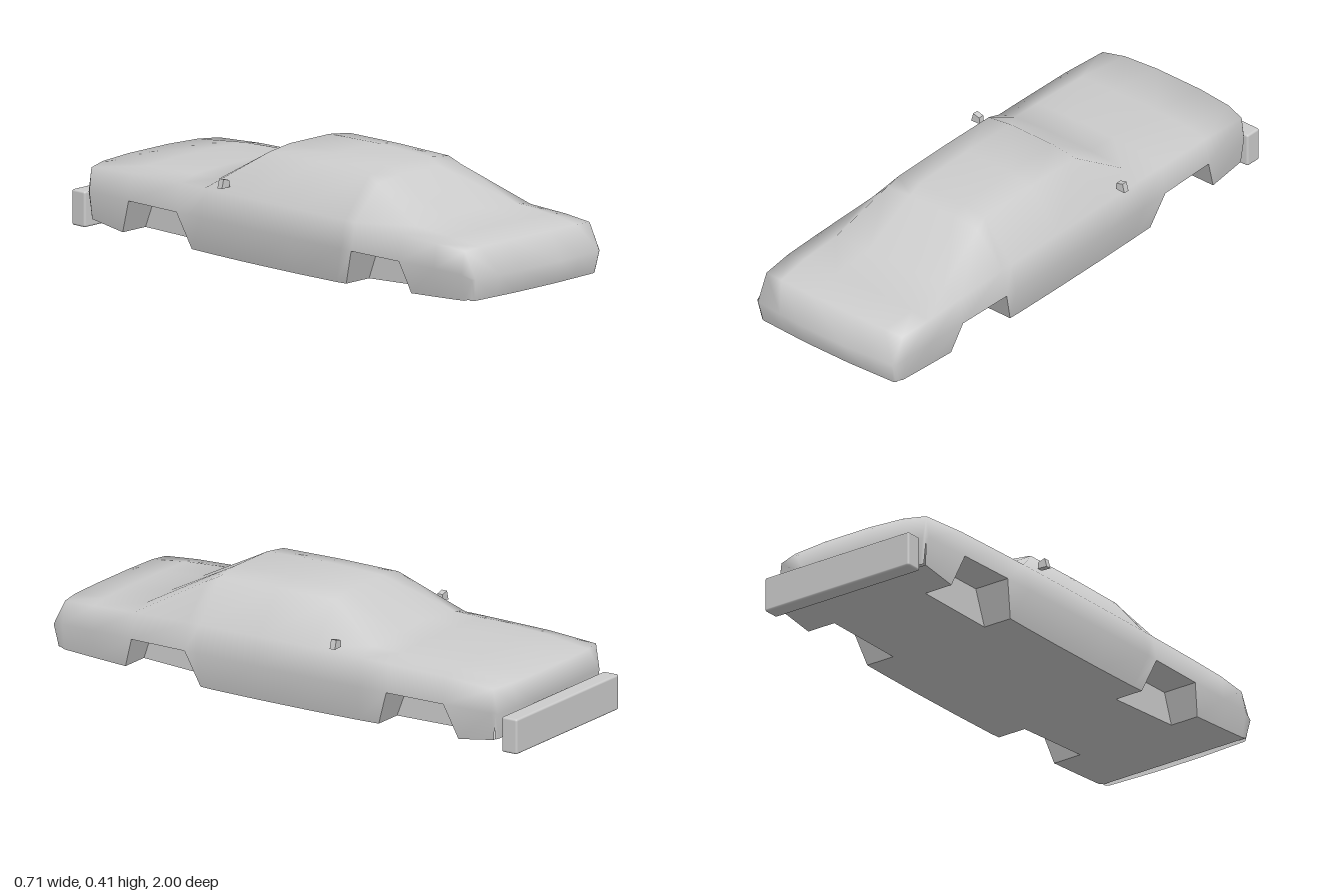
import * as THREE from 'three';
import { RoundedBoxGeometry } from 'three/addons/geometries/RoundedBoxGeometry.js';

// One body section: five points on the +x half, from sill to roof centre.
// z/zb: section position at waist and sill; yb: sill height; xw: waist width;
// yBelt: belt line; [x3, y3]: roof edge; yTop: top height; bow: z shift at the centre
function section({ z, zb, yb, xb = 0.318, xw, xBelt = 0.325, yBelt, x3, y3, yTop, bow = 0, arch = false }) {
  return {
    arch,
    half: [[xb, yb, zb], [xw, 0.14, z], [xBelt, yBelt, z], [x3, y3, z + bow * 0.7], [0.1, yTop, z + bow]],
  };
}

// A flattened section that closes the nose or the tail
function endRow(y, z, bow, xs) {
  return { arch: false, half: xs.map((x, i) => [x, y, z + bow * i / 4]) };
}

const SECTIONS = [
  // nose
  endRow(0.045, 0.955, 0.02, [0.312, 0.309, 0.3, 0.2, 0.1]),
  { arch: false, half: [[0.315, 0.05, 0.953], [0.322, 0.125, 0.972], [0.312, 0.127, 0.98], [0.2, 0.128, 0.992], [0.1, 0.128, 1.0]] },
  section({ z: 0.93, zb: 0.93, yb: 0.043, xw: 0.333, xBelt: 0.315, yBelt: 0.222, x3: 0.24, y3: 0.227, yTop: 0.228, bow: 0.012 }),
  section({ z: 0.8, zb: 0.8, yb: 0.035, xw: 0.336, yBelt: 0.23, x3: 0.25, y3: 0.241, yTop: 0.246 }),
  // front wheel arch and windscreen
  section({ z: 0.63, zb: 0.67, yb: 0.028, xw: 0.34, yBelt: 0.236, x3: 0.25, y3: 0.252, yTop: 0.258, arch: true }),
  section({ z: 0.4, zb: 0.35, yb: 0.01, xw: 0.345, yBelt: 0.24, x3: 0.21, y3: 0.362, yTop: 0.374 }),
  // cabin
  section({ z: 0.35, zb: 0.3, yb: 0.008, xw: 0.346, yBelt: 0.24, x3: 0.2, y3: 0.386, yTop: 0.4 }),
  section({ z: 0.1, zb: 0.1, yb: 0.006, xw: 0.349, yBelt: 0.242, x3: 0.2, y3: 0.39, yTop: 0.407 }),
  section({ z: -0.14, zb: -0.14, yb: 0.006, xw: 0.349, yBelt: 0.243, x3: 0.2, y3: 0.388, yTop: 0.401 }),
  section({ z: -0.34, zb: -0.32, yb: 0.008, xw: 0.347, yBelt: 0.243, x3: 0.25, y3: 0.266, yTop: 0.275 }),
  // rear wheel arch and rear deck
  section({ z: -0.46, zb: -0.41, yb: 0.01, xw: 0.345, yBelt: 0.242, x3: 0.25, y3: 0.262, yTop: 0.27, arch: true }),
  section({ z: -0.7, zb: -0.75, yb: 0.015, xw: 0.34, yBelt: 0.238, x3: 0.25, y3: 0.253, yTop: 0.26 }),
  // tail
  section({ z: -0.9, zb: -0.9, yb: 0.038, xw: 0.333, xBelt: 0.322, yBelt: 0.226, x3: 0.24, y3: 0.231, yTop: 0.234, bow: -0.035 }),
  endRow(0.135, -0.905, -0.025, [0.325, 0.322, 0.318, 0.2, 0.1]),
  endRow(0.04, -0.905, -0.01, [0.314, 0.31, 0.3, 0.2, 0.1]),
];

const mirrored = ([x, y, z]) => [-x, y, z];
const ARCH_X = 0.203; // inner wall of the wheel arches

// Smooth outer skin lofted through the sections
function skinGeometry() {
  const points = [], index = [];
  const n = 10;
  for (const { half } of SECTIONS) points.push(...half, ...half.map(mirrored).reverse());
  for (let i = 0; i < SECTIONS.length - 1; i++) {
    for (let k = 0; k < n - 1; k++) {
      if (SECTIONS[i].arch && (k === 0 || k === n - 2)) continue;
      const a = i * n + k, b = a + n;
      index.push(a, b, b + 1, a, b + 1, a + 1);
    }
  }
  const g = new THREE.BufferGeometry();
  g.setAttribute('position', new THREE.Float32BufferAttribute(points.flat(), 3));
  g.setIndex(index);
  g.computeVertexNormals();
  return g;
}

// Separate flat quads, each given as four corners
function quadGeometry(quads) {
  const g = new THREE.BufferGeometry();
  const corners = quads.flatMap(([a, b, c, d]) => [a, b, c, a, c, d]);
  g.setAttribute('position', new THREE.Float32BufferAttribute(corners.flat(), 3));
  g.computeVertexNormals();
  return g;
}

const inner = ([, y, z]) => [ARCH_X, y, z];

// Floor strips, narrowed between the wheel arches
function floorGeometry() {
  const quads = [];
  for (let i = 0; i < SECTIONS.length - 1; i++) {
    const narrow = SECTIONS[i].arch ? inner : (p) => p;
    const a = narrow(SECTIONS[i].half[0]), b = narrow(SECTIONS[i + 1].half[0]);
    if (a[2] - b[2] < 0.01) continue;
    quads.push([a, mirrored(a), mirrored(b), b]);
  }
  return quadGeometry(quads);
}

// Inner wall, roof and sloping ends of one wheel arch on the +x side
function archGeometry(i, side) {
  const [A0, A1] = SECTIONS[i].half, [B0, B1] = SECTIONS[i + 1].half;
  const [a0, a1, b0, b1] = [A0, A1, B0, B1].map(inner);
  const quads = [
    [a0, b0, b1, a1],
    [a1, b1, B1, A1],
    [A0, a0, a1, A1],
    [b0, B0, B1, b1],
  ];
  return quadGeometry(side > 0 ? quads : quads.map((q) => q.map(mirrored).reverse()));
}

// Small wedge-shaped door mirror
function mirrorGeometry(side) {
  const outline = [[0.315, 0.265], [0.355, 0.263], [0.346, 0.297], [0.318, 0.29]];
  const shape = new THREE.Shape(outline.map(([x, y]) => new THREE.Vector2(x * side, y)));
  return new THREE.ExtrudeGeometry(shape, { depth: 0.022, bevelEnabled: false }).translate(0, 0, -0.248);
}

export function createModel() {
  const paint = new THREE.MeshStandardMaterial({ color: 0xcccccc, side: THREE.DoubleSide });
  paint.name = 'greyPaint';
  const car = new THREE.Group();
  car.name = 'car';
  const add = (name, geometry) => {
    const mesh = new THREE.Mesh(geometry, paint);
    mesh.name = name;
    car.add(mesh);
    return mesh;
  };

  add('bodyShell', skinGeometry());
  add('floor', floorGeometry());

  // wheel arches and door mirrors on both sides
  for (const [side, label] of [[1, 'left'], [-1, 'right']]) {
    SECTIONS.forEach((s, i) => {
      if (s.arch) add(`${label}${s.half[1][2] > 0 ? 'Front' : 'Rear'}WheelArch`, archGeometry(i, side));
    });
    add(`${label}DoorMirror`, mirrorGeometry(side));
  }

  // rear bumper
  add('rearBumper', new RoundedBoxGeometry(0.64, 0.13, 0.065, 2, 0.008)).position.set(0, 0.066, -0.9675);
  return car;
}
